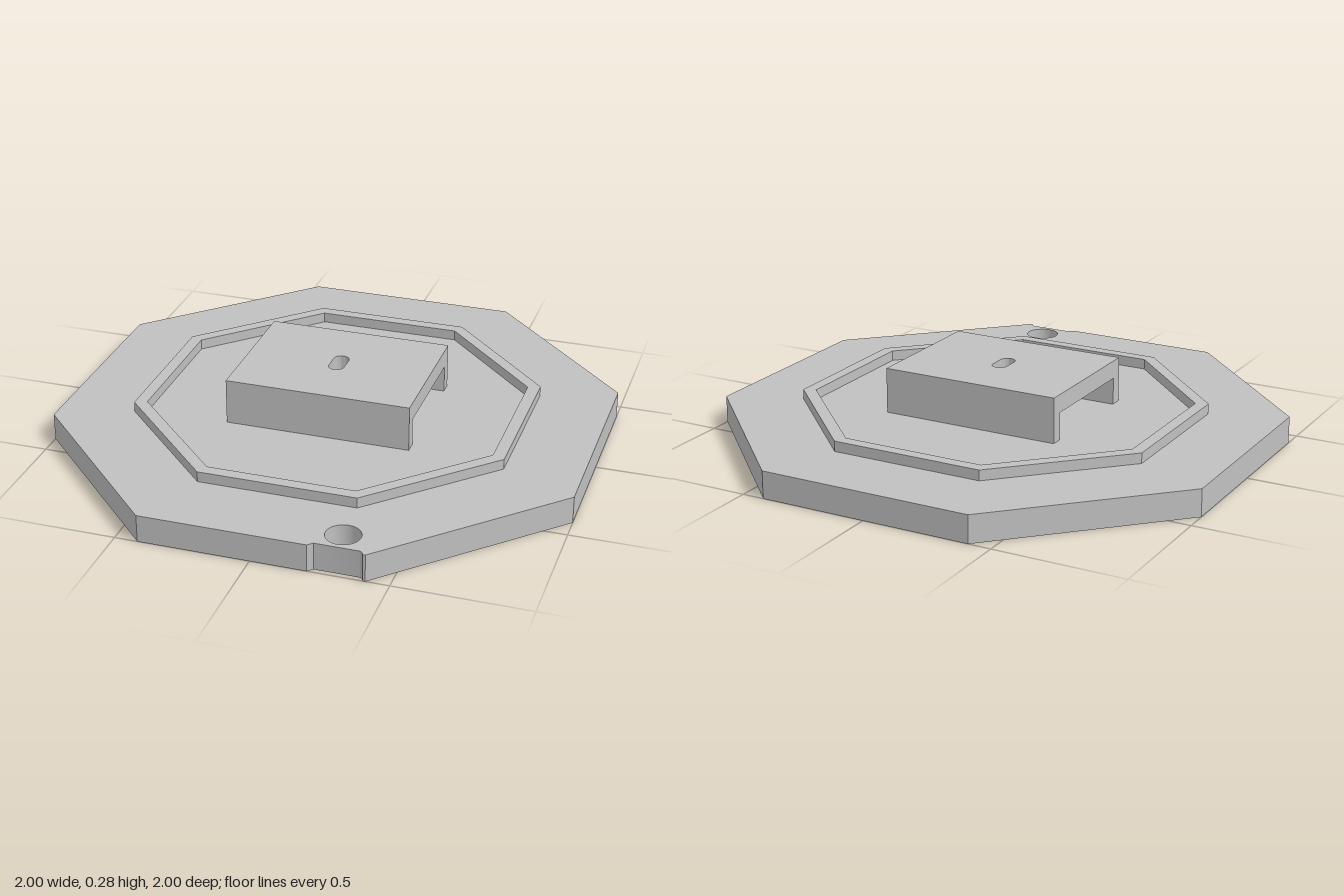
import * as THREE from 'three';
import { toCreasedNormals } from 'three/addons/utils/BufferGeometryUtils.js';

const PLATE_TOP = 0.105, RIM_TOP = 0.145, BRIDGE_UNDER = 0.21, BRIDGE_TOP = 0.28;
const HALF_X = 0.355, HALF_Z = 0.27, LEG = 0.047;

// Regular octagon with flat sides at distance a, as [x, z] pairs from the front edge around
function octagon(a) {
  const b = a * Math.tan(Math.PI / 8);
  return [[-b, a], [-a, b], [-a, -b], [-b, -a], [b, -a], [a, -b], [a, b], [b, a]]
    .map(([x, z]) => new THREE.Vector2(x, z));
}

// Extrude an outline drawn in x and z between two heights
function slab(shape, bottom, top) {
  const geo = new THREE.ExtrudeGeometry(shape, { depth: top - bottom, bevelEnabled: false, curveSegments: 20 });
  geo.rotateX(Math.PI / 2);
  geo.translate(0, top, 0);
  return toCreasedNormals(geo, 0.5);
}

export function createModel() {
  const model = new THREE.Group();
  const grey = new THREE.MeshStandardMaterial({ color: 0xc0c0c0 });
  grey.name = 'grey';
  const add = (name, geo, parent = model) => {
    const mesh = new THREE.Mesh(geo, grey);
    mesh.name = name;
    parent.add(mesh);
    return mesh;
  };

  // Base plate with a shallow notch in the front edge and a round hole behind it
  const plate = new THREE.Shape(octagon(1));
  plate.lineTo(0.405, 1);
  plate.quadraticCurveTo(0.398, 0.982, 0.385, 0.982);
  plate.lineTo(0.226, 0.982);
  plate.lineTo(0.207, 1);
  plate.closePath();
  plate.holes.push(new THREE.Path().absarc(0.305, 0.9, 0.064, 0, Math.PI * 2, true));
  add('basePlate', slab(plate, 0, PLATE_TOP));

  // Raised octagonal rim
  const rim = new THREE.Shape(octagon(0.718));
  rim.holes.push(new THREE.Path(octagon(0.672)));
  add('rim', slab(rim, PLATE_TOP, RIM_TOP));

  // Bridge: slotted top on two long legs
  const bridge = new THREE.Group();
  bridge.name = 'bridge';
  model.add(bridge);
  const top = new THREE.Shape([[-HALF_X, -HALF_Z], [HALF_X, -HALF_Z], [HALF_X, HALF_Z], [-HALF_X, HALF_Z]]
    .map(([x, z]) => new THREE.Vector2(x, z)));
  const slot = new THREE.Path();
  slot.absarc(0, 0.029, 0.03, 0, Math.PI, false);
  slot.absarc(0, -0.029, 0.03, Math.PI, Math.PI * 2, false);
  slot.closePath();
  top.holes.push(slot);
  add('bridgeTop', slab(top, BRIDGE_UNDER, BRIDGE_TOP), bridge);

  const legHeight = BRIDGE_UNDER - PLATE_TOP;
  for (const side of [1, -1]) {
    const leg = add(side > 0 ? 'frontLeg' : 'backLeg', new THREE.BoxGeometry(HALF_X * 2, legHeight, LEG), bridge);
    leg.position.set(0, PLATE_TOP + legHeight / 2, side * (HALF_Z - LEG / 2));
  }
  return model;
}
